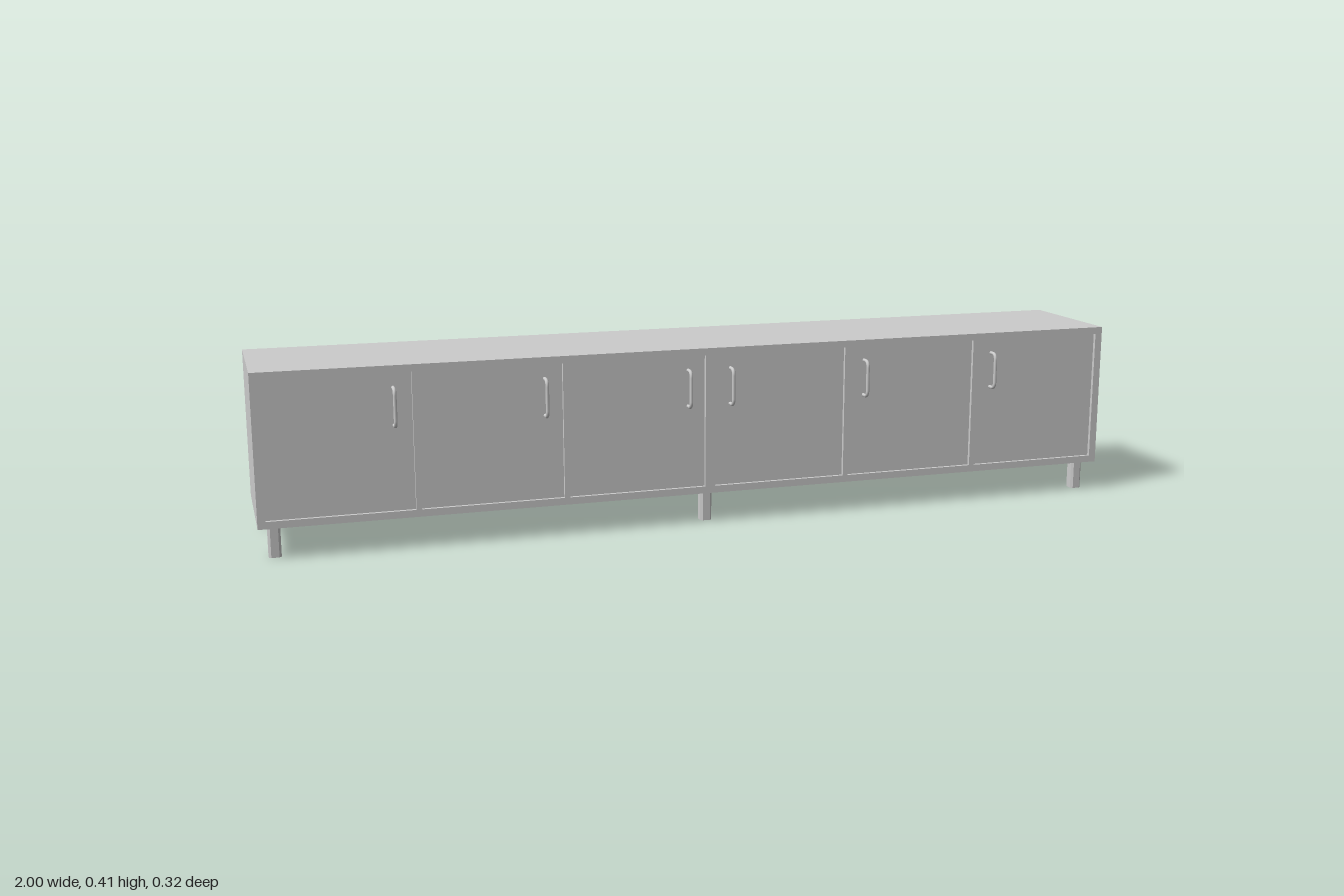
import * as THREE from 'three';

const material = new THREE.MeshStandardMaterial({ color: 0xcccccc });
const FRONT = 0.14, BACK = -0.16, BOTTOM = 0.07, TOP = 0.405;
const BOARD = 0.016, BACK_THICK = 0.01, RECESS = 0.008, DOOR_THICK = 0.014;

function add(parent, name, geometry, x = 0, y = 0, z = 0) {
  const mesh = new THREE.Mesh(geometry, material);
  mesh.name = name;
  mesh.position.set(x, y, z);
  parent.add(mesh);
  return mesh;
}

function rectangle(Type, x0, y0, x1, y1) {
  const r = new Type();
  r.moveTo(x0, y0);
  r.lineTo(x1, y0);
  r.lineTo(x1, y1);
  r.lineTo(x0, y1);
  r.closePath();
  return r;
}

// Round bar bent into a U with rounded corners; y is measured from the middle
function handleGeometry() {
  const h = 0.041, reach = 0.024, r = 0.014;
  const p = (y, z) => new THREE.Vector3(0, y, z);
  const path = new THREE.CurvePath();
  path.add(new THREE.LineCurve3(p(-h, 0), p(-h, reach - r)));
  path.add(new THREE.QuadraticBezierCurve3(p(-h, reach - r), p(-h, reach), p(-h + r, reach)));
  path.add(new THREE.LineCurve3(p(-h + r, reach), p(h - r, reach)));
  path.add(new THREE.QuadraticBezierCurve3(p(h - r, reach), p(h, reach), p(h, reach - r)));
  path.add(new THREE.LineCurve3(p(h, reach - r), p(h, 0)));
  return new THREE.TubeGeometry(path, 48, 0.004, 10, false);
}

// Square post with chamfered upright edges
function legGeometry(height) {
  const a = 0.0135, b = 0.0085;
  const shape = new THREE.Shape([
    [a, -b], [a, b], [b, a], [-b, a], [-a, b], [-a, -b], [-b, -a], [b, -a],
  ].map(([x, y]) => new THREE.Vector2(x, y)));
  return new THREE.ExtrudeGeometry(shape, { depth: height, bevelEnabled: false }).rotateX(-Math.PI / 2);
}

export function createModel() {
  const model = new THREE.Group();
  model.name = 'sideboard';

  // Door openings, three on each side of the central divider
  const y0 = BOTTOM + BOARD, y1 = TOP - BOARD;
  const doors = [];
  for (const side of [-1, 1]) {
    for (let i = 0; i < 3; i++) {
      const inner = 0.011 + i * 0.328, outer = inner + 0.316;
      doors.push({ side, x0: Math.min(side * inner, side * outer), x1: Math.max(side * inner, side * outer) });
    }
  }

  // Carcass with one opening per door, closed by a back panel
  const outline = rectangle(THREE.Shape, -1, BOTTOM, 1, TOP);
  for (const d of doors) outline.holes.push(rectangle(THREE.Path, d.x0, y0, d.x1, y1));
  const depth = FRONT - BACK - BACK_THICK;
  add(model, 'carcass', new THREE.ExtrudeGeometry(outline, { depth, bevelEnabled: false }), 0, 0, BACK + BACK_THICK);
  add(model, 'backPanel', new THREE.BoxGeometry(2, TOP - BOTTOM, BACK_THICK), 0, (TOP + BOTTOM) / 2, BACK + BACK_THICK / 2);

  // Inset doors, each with a handle on the edge nearest the middle
  const handle = handleGeometry();
  const face = FRONT - RECESS;
  for (const d of doors) {
    const door = new THREE.Group();
    door.name = 'door';
    add(door, 'doorPanel', new THREE.BoxGeometry(d.x1 - d.x0, y1 - y0, DOOR_THICK),
      (d.x0 + d.x1) / 2, (y0 + y1) / 2, face - DOOR_THICK / 2);
    add(door, 'handle', handle, d.side < 0 ? d.x1 - 0.039 : d.x0 + 0.039, 0.315, face);
    model.add(door);
  }

  // Three pairs of legs
  const leg = legGeometry(BOTTOM);
  for (const x of [-0.966, -0.002, 0.964]) {
    for (const z of [0.105, -0.126]) add(model, 'leg', leg, x, 0, z);
  }
  return model;
}
